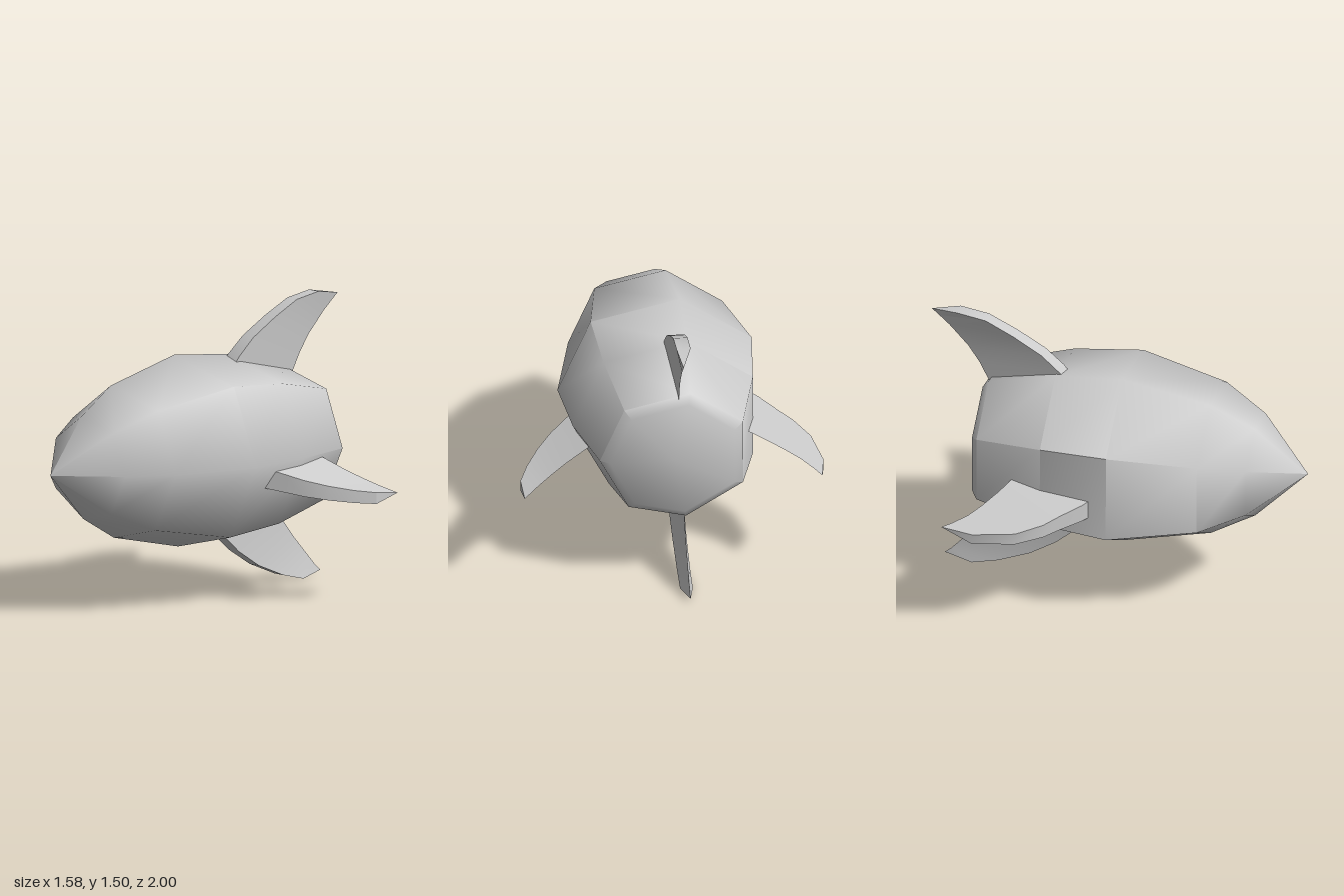
import * as THREE from 'three';
import { toCreasedNormals } from 'three/addons/utils/BufferGeometryUtils.js';

const material = new THREE.MeshStandardMaterial({ color: 0xcccccc, side: THREE.DoubleSide });

// Skins a list of equal-sized closed rings, skipping collapsed triangles.
function loft(name, rings, flip, crease) {
  const pos = [];
  const tri = (a, b, c) => {
    if (new THREE.Triangle(a, b, c).getArea() < 1e-7) return;
    for (const v of flip ? [a, c, b] : [a, b, c]) pos.push(v.x, v.y, v.z);
  };
  for (let j = 0; j < rings.length - 1; j++) {
    const n = rings[j].length;
    for (let i = 0; i < n; i++) {
      const k = (i + 1) % n;
      tri(rings[j][i], rings[j + 1][i], rings[j + 1][k]);
      tri(rings[j][i], rings[j + 1][k], rings[j][k]);
    }
  }
  const geometry = new THREE.BufferGeometry();
  geometry.setAttribute('position', new THREE.Float32BufferAttribute(pos, 3));
  const mesh = new THREE.Mesh(toCreasedNormals(geometry, crease), material);
  mesh.name = name;
  return mesh;
}

// Slightly uneven seven-sided hull: pointed nose, blunt tail.
function createHull() {
  const corners = [[0, 1], [49, 1.02], [103, 1], [153, 1.05], [206.5, 1.05], [260, 0.96], [309, 0.97]];
  const stations = [[1, 0], [0.73, 0.28], [0.5, 0.415], [0.04, 0.523], [-0.32, 0.485],
    [-0.68, 0.385], [-0.715, 0.335], [-0.72, 0]]; // [z, radius]
  const rings = stations.map(([z, r]) => corners.map(([deg, f]) => {
    const a = THREE.MathUtils.degToRad(deg);
    return new THREE.Vector3(r * f * Math.cos(a), 0.755 + r * f * Math.sin(a), z);
  }));
  return loft('hull', rings, false, 0.95);
}

// Swept fin with a broad leading face and a sharp trailing edge.
// ribs: [lead span, lead z, trail span, trail z]; hi, lo, trail: sideways offset from root to tip.
function createFin(name, vertical, ribs, hi, lo, trail) {
  const s0 = ribs[0][0], s1 = ribs[ribs.length - 1][0];
  const point = (s, z, [root, tip]) => {
    const p = THREE.MathUtils.lerp(root, tip, (s - s0) / (s1 - s0));
    return vertical ? new THREE.Vector3(p, s, z) : new THREE.Vector3(s, p, z);
  };
  const rings = ribs.map(([ls, lz, ts, tz], i) => {
    if (i === ribs.length - 1) return [0, 1, 2].map(() => point(ts, tz, trail));
    return [point(ls, lz, hi), point(ls, lz, lo), point(ts, tz, trail)];
  });
  const outward = vertical ? s1 > s0 : s1 < s0;
  return loft(name, rings, !outward, 0.4);
}

export function createModel() {
  const model = new THREE.Group();
  model.name = 'finnedCapsule';
  model.add(createHull());

  model.add(createFin('topFin', true, [
    [1.12, -0.22, 1.04, -0.66], [1.23, -0.3, 1.11, -0.7], [1.32, -0.4, 1.2, -0.745], [1.41, -0.55, 1.29, -0.805],
    [1.485, -0.7, 1.4, -0.905], [1.51, -0.85, 1.45, -0.96], [1.485, -1, 1.485, -1],
  ], [0.005, 0.005], [-0.09, -0.07], [-0.025, -0.015]));

  model.add(createFin('bottomFin', true, [
    [0.38, -0.13, 0.46, -0.58], [0.28, -0.23, 0.4, -0.62], [0.2, -0.32, 0.32, -0.66], [0.11, -0.46, 0.22, -0.74],
    [0.04, -0.63, 0.11, -0.84], [0.005, -0.77, 0.06, -0.885], [0.03, -0.92, 0.03, -0.92],
  ], [-0.012, -0.022], [-0.103, -0.09], [-0.06, -0.06]));

  model.add(createFin('leftFin', false, [
    [0.4, -0.06, 0.34, -0.47], [0.51, -0.16, 0.43, -0.51], [0.59, -0.23, 0.55, -0.56], [0.67, -0.33, 0.63, -0.605],
    [0.74, -0.45, 0.7, -0.65], [0.785, -0.56, 0.745, -0.685], [0.78, -0.71, 0.78, -0.71],
  ], [0.74, 0.59], [0.63, 0.53], [0.745, 0.57]));

  model.add(createFin('rightFin', false, [
    [-0.4, 0.01, -0.34, -0.45], [-0.51, -0.08, -0.43, -0.49], [-0.6, -0.18, -0.5, -0.53], [-0.67, -0.25, -0.6, -0.595],
    [-0.75, -0.38, -0.67, -0.65], [-0.79, -0.6, -0.73, -0.72], [-0.765, -0.77, -0.765, -0.77],
  ], [0.75, 0.64], [0.64, 0.58], [0.76, 0.64]));

  return model;
}
